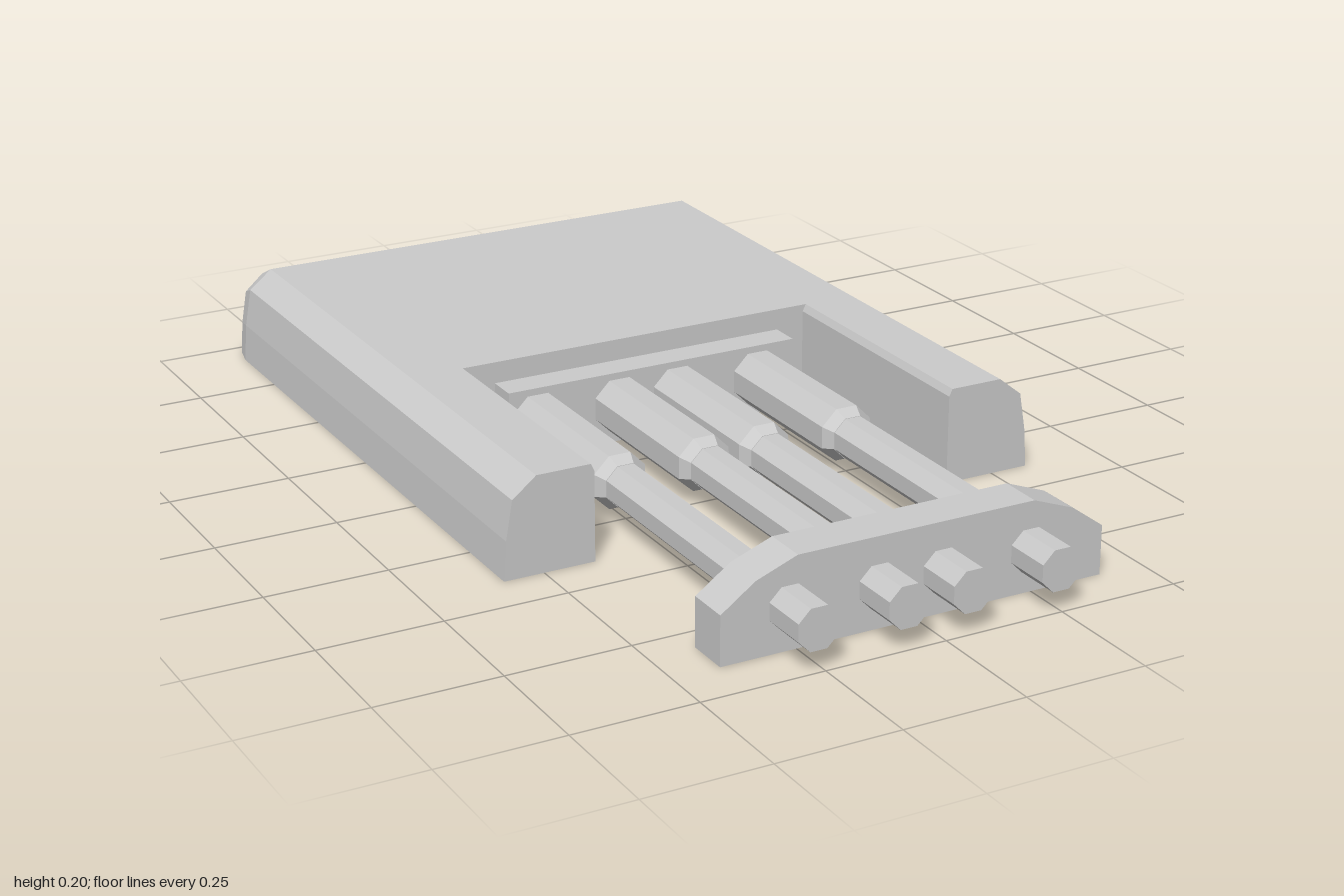
import * as THREE from 'three';

const material = new THREE.MeshStandardMaterial({ color: 0xcccccc, flatShading: true });

function part(geometry, name, parent) {
  const mesh = new THREE.Mesh(geometry, material);
  mesh.name = name;
  parent.add(mesh);
  return mesh;
}

// Extrudes an xy outline from z0 to z1.
function prism(points, z0, z1) {
  const shape = new THREE.Shape(points.map(([x, y]) => new THREE.Vector2(x, y)));
  return new THREE.ExtrudeGeometry(shape, { depth: z1 - z0, bevelEnabled: false }).translate(0, 0, z0);
}

const mirrored = (half) => [...half, ...half.map(([x, y]) => [-x, y]).reverse()];

// Skins matching counter-clockwise sections ordered from back to front.
function loft(sections) {
  const n = sections[0].points.length;
  const positions = [];
  const index = [];
  sections.forEach(({ z, points }) => points.forEach(([x, y]) => positions.push(x, y, z)));
  for (let s = 0; s < sections.length - 1; s++) {
    for (let i = 0; i < n; i++) {
      const a = s * n + i, b = s * n + ((i + 1) % n);
      index.push(a, b, b + n, a, b + n, a + n);
    }
  }
  const last = (sections.length - 1) * n;
  for (let i = 1; i < n - 1; i++) {
    index.push(0, i + 1, i, last, last + i, last + i + 1);
  }
  const geometry = new THREE.BufferGeometry();
  geometry.setAttribute('position', new THREE.Float32BufferAttribute(positions, 3));
  geometry.setIndex(index);
  const flat = geometry.toNonIndexed();
  flat.computeVertexNormals();
  return flat;
}

export function createModel() {
  const model = new THREE.Group();
  model.name = 'connector';

  // Housing with a bevelled back edge and clipped corners
  const side = [[0.583, 0], [0.577, 0.08], [0.563, 0.16], [0.513, 0.2]];
  const sections = [
    { z: -1, half: [[0.55, 0], [0.548, 0.06], [0.545, 0.11], [0.535, 0.125]] },
    { z: -0.97, half: [[0.572, 0], [0.567, 0.07], [0.555, 0.14], [0.515, 0.175]] },
    { z: -0.92, half: side },
    { z: -0.165, half: side },
  ];
  part(loft(sections.map(({ z, half }) => ({ z, points: mirrored(half) }))), 'housing', model);

  // Arms either side of the recess
  const arm = [[0.393, 0], ...side, [0.4, 0.2], [0.393, 0.185]];
  part(prism(arm, -0.165, 0.4), 'leftArm', model);
  part(prism(arm.map(([x, y]) => [-x, y]).reverse(), -0.165, 0.4), 'rightArm', model);

  // Step in the recess that holds the sleeves
  part(new THREE.BoxGeometry(0.66, 0.15, 0.07).translate(0, 0.08, -0.135), 'sleeveMount', model);

  // Wires with thicker tapered sleeves
  const sleeve = [[0, -0.11], [0.06, -0.11], [0.06, 0.255], [0.046, 0.28], [0, 0.28]];
  const wire = [[0, 0.25], [0.045, 0.25], [0.045, 1], [0, 1]];
  const turned = (profile) => new THREE.LatheGeometry(
    profile.map(([r, z]) => new THREE.Vector2(r, z)), 8, Math.PI / 8).rotateX(Math.PI / 2);
  for (const x of [-0.265, -0.08, 0.055, 0.245]) {
    const lead = new THREE.Group();
    lead.name = 'lead';
    lead.position.set(x, 0.085, 0);
    part(turned(sleeve), 'sleeve', lead);
    part(turned(wire), 'wire', lead);
    model.add(lead);
  }

  // Cross plate that spaces the wires
  const plate = mirrored([[0.405, 0], [0.405, 0.1], [0.335, 0.15], [0.25, 0.182]]);
  part(prism(plate, 0.81, 0.9), 'spacerPlate', model);

  return model;
}
